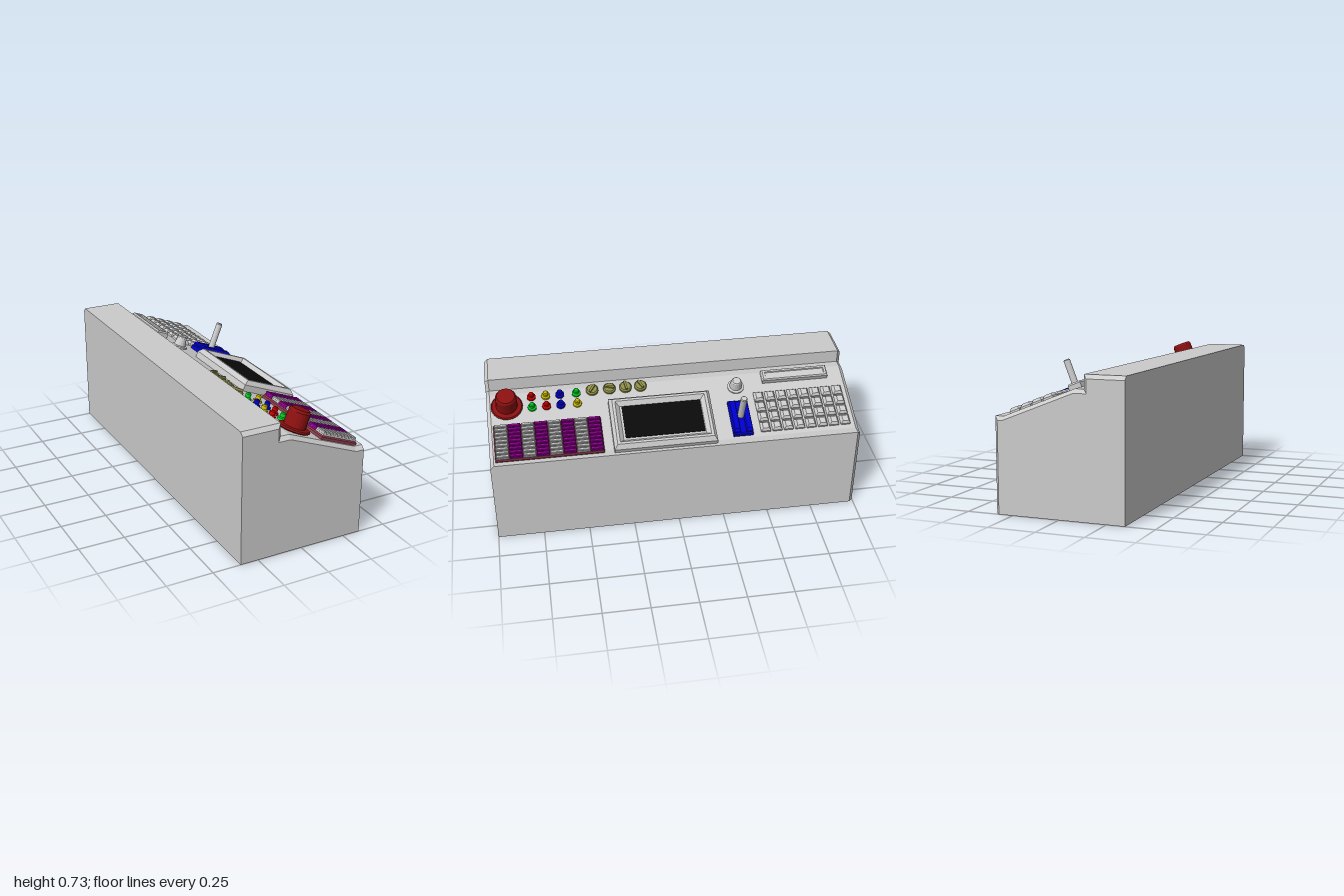
import * as THREE from 'three';

const mat = (color) => new THREE.MeshStandardMaterial({ color, flatShading: true, roughness: 0.8 });
const GREY = mat(0xcccccc), RED = mat(0x8b1010), BLUE = mat(0x0000cc), OLIVE = mat(0x8f8f48);
const PURPLE = mat(0x990099), MAROON = mat(0x8a3a4a), BLACK = mat(0x0a0a0a);
const LAMPS = { g: mat(0x00cc22), y: mat(0xccbb00), b: mat(0x0000cc), r: mat(0xcc0000) };

// Skin counter-clockwise xy rings, each { w: height along z, p: [[x, y], ...] }, with closed ends
function loft(rings) {
  const out = [], n = rings[0].p.length;
  const put = (r, j) => out.push(r.p[j % n][0], r.p[j % n][1], r.w);
  for (let i = 0; i + 1 < rings.length; i++) {
    const a = rings[i], b = rings[i + 1];
    for (let j = 0; j < n; j++) {
      put(a, j); put(a, j + 1); put(b, j + 1);
      put(a, j); put(b, j + 1); put(b, j);
    }
  }
  const cap = (r, flip) => {
    const pts = r.p.map(([x, y]) => new THREE.Vector2(x, y));
    for (const f of THREE.ShapeUtils.triangulateShape(pts, [])) {
      for (const k of flip ? [f[0], f[2], f[1]] : f) put(r, k);
    }
  };
  cap(rings[0], true);
  cap(rings[rings.length - 1], false);
  const g = new THREE.BufferGeometry();
  g.setAttribute('position', new THREE.Float32BufferAttribute(out, 3));
  g.computeVertexNormals();
  return g;
}

// Upright block from steps of [width in x, depth in z, height]
function stepped(steps) {
  return loft(steps.map(([w, d, h]) => ({
    w: h, p: [[-w / 2, -d / 2], [w / 2, -d / 2], [w / 2, d / 2], [-w / 2, d / 2]],
  }))).rotateX(-Math.PI / 2);
}

function add(parent, name, geo, material, x, y, z) {
  const m = new THREE.Mesh(geo, material);
  m.name = name;
  m.position.set(x, y, z);
  parent.add(m);
  return m;
}

// Turned part from [radius, height] points
const turned = (pts, sides) => new THREE.LatheGeometry(pts.map(([r, h]) => new THREE.Vector2(r, h)), sides);

const box = (w, h, d) => new THREE.BoxGeometry(w, h, d);

export function createModel() {
  const model = new THREE.Group();
  model.name = 'controlConsole';

  // Cabinet: stepped profile with chamfered ends
  const section = (z, drop, inset) => ({
    w: z,
    p: [
      [-0.347, 0], [0.347 - inset, 0], [0.347 - inset, 0.49 - drop], [0.302, 0.49 - drop],
      [-0.083, 0.642 - drop], [-0.13 - drop, 0.642 - drop], [-0.13 - drop, 0.713 - drop], [-0.347, 0.713 - drop],
    ],
  });
  const body = loft([section(-1, 0.02, 0.02), section(-0.98, 0, 0), section(0.98, 0, 0), section(1, 0.02, 0)]);
  add(model, 'cabinet', body, GREY, 0, 0, 0);

  // Controls sit in the frame of the sloping face: x down the slope, y out of it
  const panel = new THREE.Group();
  panel.name = 'slopingPanel';
  panel.position.set(0, 0.609, 0);
  panel.rotation.z = -Math.atan2(0.152, 0.385);
  model.add(panel);

  // Large red push button
  add(panel, 'emergencyButton', turned([
    [0, 0.004], [0.078, 0.004], [0.086, 0.01], [0.08, 0.018], [0.058, 0.022],
    [0.056, 0.1], [0.048, 0.112], [0, 0.114],
  ], 20), RED, -0.004, 0, 0.89);

  // Two columns of small coloured buttons
  const lamp = turned([[0.024, 0], [0.024, 0.012], [0.015, 0.017], [0.015, 0.034], [0.01, 0.04], [0, 0.04]], 12);
  ['gbyr', 'ybrg'].forEach((column, c) => {
    [0.51, 0.6, 0.677, 0.755].forEach((z, i) => {
      add(panel, 'smallButton', lamp, LAMPS[column[i]], -0.055 + c * 0.067, 0, z);
    });
  });

  // Turn knobs with a grip ridge
  const dial = turned([[0.034, 0], [0.034, 0.012], [0.027, 0.02], [0, 0.02]], 16);
  [0.155, 0.238, 0.327, 0.422].forEach((z, i) => {
    const knob = add(panel, 'turnKnob', dial, OLIVE, -0.066, 0, z);
    add(knob, 'knobGrip', box(0.054, 0.014, 0.011), OLIVE, 0, 0.024, 0);
    knob.rotation.y = [0.5, 0.15, 1.3, -0.6][i];
  });

  // Ribbed key bank on a plate, strips alternating in colour
  add(panel, 'keyBankPlate', stepped([[0.222, 0.575, 0], [0.222, 0.575, 0.014], [0.212, 0.565, 0.021]]),
    MAROON, 0.228, 0, 0.683);
  const rib = stepped([[0.016, 0.067, 0], [0.016, 0.067, 0.011], [0.01, 0.061, 0.015]]);
  for (let i = 0; i < 8; i++) {
    const colour = i % 2 ? GREY : PURPLE;
    const strip = add(panel, 'keyStrip', box(0.208, 0.01, 0.068), colour, 0.228, 0.024, 0.434 + i * 0.071);
    for (let j = 0; j < 9; j++) add(strip, 'keyRib', rib, colour, -0.094 + j * 0.0235, 0.003, 0);
  }

  // Screen with a bevelled, recessed surround
  add(panel, 'screenFrame', stepped([
    [0.325, 0.555, -0.005], [0.325, 0.555, 0.035], [0.285, 0.52, 0.059],
    [0.258, 0.49, 0.059], [0.215, 0.445, 0.036],
  ]), GREY, 0.185, 0, 0.067);
  add(panel, 'screen', box(0.2, 0.006, 0.43), BLACK, 0.18, 0.037, 0.063);

  // Lever in a slotted base
  add(panel, 'leverBase', stepped([[0.215, 0.108, 0], [0.215, 0.108, 0.02], [0.2, 0.1, 0.026]]), BLUE, 0.205, 0, -0.358);
  for (const s of [-1, 1]) {
    add(panel, 'leverRail', stepped([[0.2, 0.036, 0.02], [0.2, 0.036, 0.036], [0.17, 0.028, 0.046]]),
      BLUE, 0.205, 0, -0.358 + s * 0.034);
  }
  add(panel, 'lever', turned([[0.018, 0.02], [0.018, 0.187], [0.014, 0.192], [0, 0.192]], 16), GREY, 0.197, 0, -0.36);

  // Round knob
  add(panel, 'roundKnob', turned([
    [0.046, 0], [0.046, 0.008], [0.034, 0.012], [0.027, 0.056], [0.022, 0.062], [0, 0.062],
  ], 16), GREY, -0.008, 0, -0.37);

  // Long raised bar
  add(panel, 'longBar', stepped([
    [0.07, 0.37, 0], [0.07, 0.37, 0.026], [0.058, 0.358, 0.034], [0.036, 0.335, 0.034], [0.03, 0.33, 0.028],
  ]), GREY, -0.05, 0, -0.708);

  // Keypad of square bevelled keys
  const key = stepped([[0.056, 0.052, 0], [0.056, 0.052, 0.01], [0.036, 0.032, 0.024]]);
  for (let r = 0; r < 8; r++) {
    for (let c = 0; c < 4; c++) add(panel, 'key', key, GREY, 0.075 + c * 0.0655, 0, -0.929 + r * 0.0635);
  }

  return model;
}
